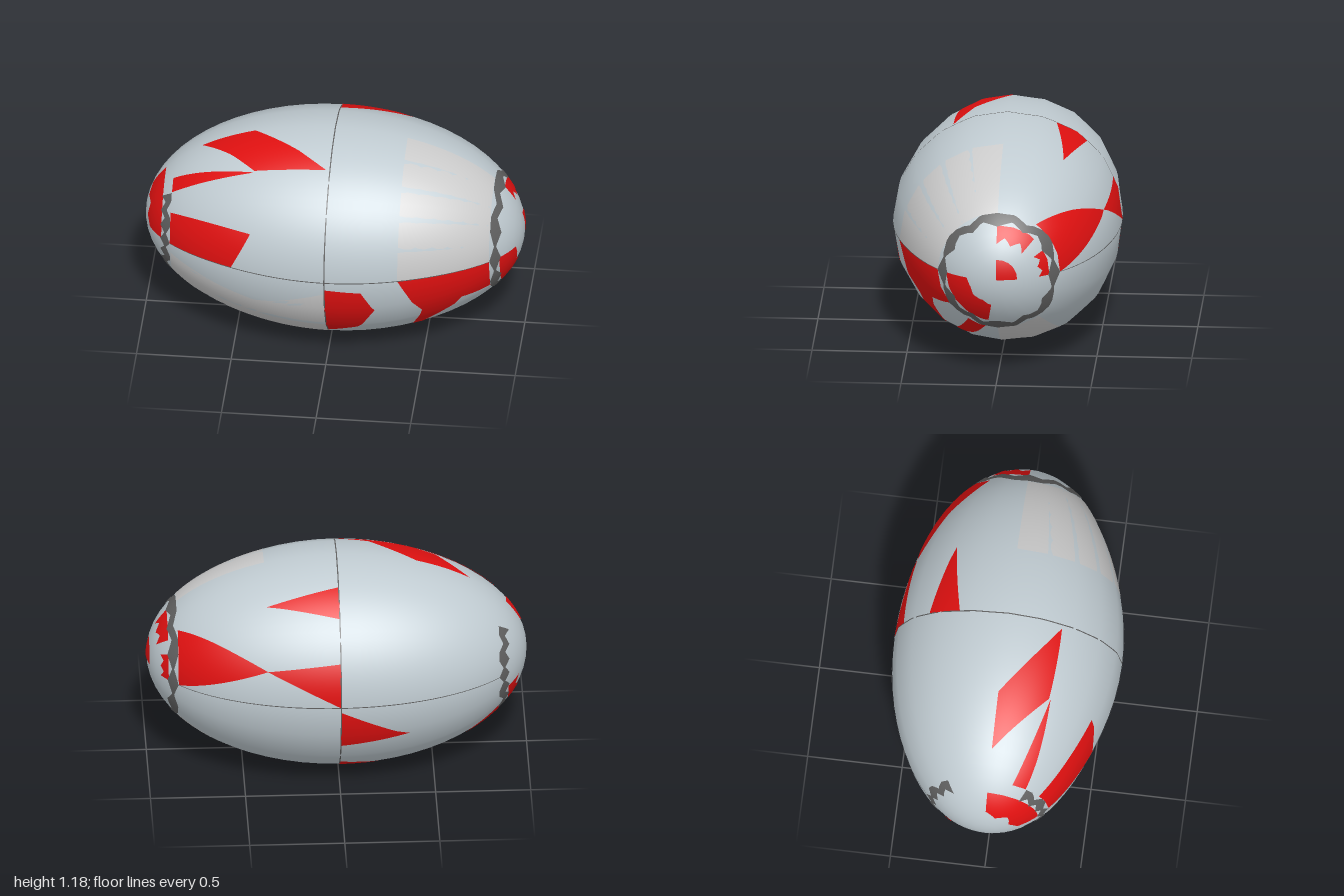
import * as THREE from 'three';

const RY = 0.585, RZ = 0.602, CY = 0.588, SIDES = 20;
const RING = 0.84, CAP = 0.89;
const rad = THREE.MathUtils.degToRad;

// Point on the egg: t runs along x (-90..90 deg), a goes round x; the section is a polygon,
// fuller between the joints at the back, flatter and more tapered at the front.
function eggPoint(t, a, back, k = 1) {
  const step = (Math.PI * 2) / SIDES;
  const local = ((a % step) + step) % step - step / 2;
  const bulge = 1 + (back ? 0.025 : -0.01) * Math.sin(2 * a) ** 2;
  const taper = back ? 1 : 1 - 0.04 * Math.sin(2 * t) ** 2;
  const f = Math.cos(step / 2) / Math.cos(local) * Math.cos(t) * bulge * k;
  return [Math.sin(t) * k, CY + RY * f * Math.sin(a), RZ * f * taper * Math.cos(a)];
}

function eggNormal(t, a) {
  return new THREE.Vector3(Math.sin(t), Math.cos(t) * Math.sin(a) / RY, Math.cos(t) * Math.cos(a) / RZ).normalize().toArray();
}

// Main shell: a plane wrapped round the egg
function shellGeometry() {
  const g = new THREE.PlaneGeometry(Math.PI, Math.PI * 2, 32, SIDES * 4);
  const p = g.attributes.position, n = g.attributes.normal;
  for (let i = 0; i < p.count; i++) {
    const t = p.getX(i), a = p.getY(i);
    p.setXYZ(i, ...eggPoint(t, a, Math.cos(a) < 0));
    n.setXYZ(i, ...eggNormal(t, a));
  }
  return g;
}

// Patch on one eighth of the egg; corners are [distance along x, degrees from the equator]
function patchGeometry(corners, [sx, sy, sz], lift) {
  const shape = new THREE.Shape(corners.map(([x, d]) => new THREE.Vector2(Math.asin(x), rad(d))));
  const flat = new THREE.ShapeGeometry(shape).toNonIndexed().attributes.position;
  const pos = [], nor = [];
  const flip = sx * sy * sz < 0;
  const put = (v) => {
    const p = eggPoint(v.x, v.y, sz < 0, lift), n = eggNormal(v.x, v.y);
    pos.push(p[0] * sx, CY + (p[1] - CY) * sy, p[2] * sz);
    nor.push(n[0] * sx, n[1] * sy, n[2] * sz);
  };
  const split = (a, b, c, depth) => {
    if (depth === 0) {
      (flip ? [a, c, b] : [a, b, c]).forEach(put);
      return;
    }
    const ab = a.clone().lerp(b, 0.5), bc = b.clone().lerp(c, 0.5), ca = c.clone().lerp(a, 0.5);
    split(a, ab, ca, depth - 1);
    split(ab, b, bc, depth - 1);
    split(ca, bc, c, depth - 1);
    split(ab, bc, ca, depth - 1);
  };
  const at = (i) => new THREE.Vector2(flat.getX(i), flat.getY(i));
  for (let i = 0; i < flat.count; i += 3) split(at(i), at(i + 1), at(i + 2), 4);
  const g = new THREE.BufferGeometry();
  g.setAttribute('position', new THREE.Float32BufferAttribute(pos, 3));
  g.setAttribute('normal', new THREE.Float32BufferAttribute(nor, 3));
  return g;
}

// Triangle from an arc (x0, lo to hi) to a tip
const wedge = (x0, lo, hi, tipX, tip) => [[x0, lo], [x0, hi], [tipX, tip]];

// Four-sided patch between two arcs
const slab = (x0, lo0, hi0, x1, lo1, hi1) => [[x0, lo0], [x0, hi0], [x1, hi1], [x1, lo1]];

// Cap patch whose inner edge zigzags between two depths
function blot(lo, hi, deep, shallow) {
  const corners = [[CAP, lo], [CAP, hi]];
  for (let i = 0; i <= 4; i++) corners.push([i % 2 ? shallow : deep, hi + (lo - hi) * i / 4]);
  return corners;
}

// Band round an end cap, jagged on both edges, from the equator up to hi
function bandCorners(hi) {
  const outer = [], inner = [];
  for (let i = 0; i <= 6; i++) {
    outer.push([i % 3 === 1 ? 0.862 : RING, hi * i / 6]);
    inner.push([i % 2 ? 0.872 : 0.895, hi - hi * i / 6]);
  }
  return [...outer, ...inner];
}

export function createModel() {
  const model = new THREE.Group();
  model.name = 'eggShell';
  const slate = new THREE.MeshStandardMaterial({ color: 0xc0cbd1 });
  const grey = new THREE.MeshStandardMaterial({ color: 0xcccccc });
  const red = new THREE.MeshStandardMaterial({ color: 0xe01010 });
  const dark = new THREE.MeshStandardMaterial({ color: 0x606060 });

  const add = (name, geometry, material) => {
    const mesh = new THREE.Mesh(geometry, material);
    mesh.name = name;
    model.add(mesh);
  };
  const paint = (name, material, lift, signs, ...patches) => {
    for (const corners of patches) add(name, patchGeometry(corners, signs, lift), material);
  };

  add('shell', shellGeometry(), slate);

  // Plain grey areas
  paint('leftFrontTopArea', grey, 1.002, [1, 1, 1], slab(0.38, 0, 90, RING, 0, 90));
  paint('rightFrontBottomArea', grey, 1.002, [-1, -1, 1], [[0, 8], [0.38, 22], [RING, 12], [RING, 90], [0, 90]]);
  paint('leftBackBottomArea', grey, 1.002, [1, -1, -1], slab(0, 60, 90, RING, 50, 90));

  // Red patches on alternate eighths
  paint('rightFrontTopPatch', red, 1.004, [-1, 1, 1],
    [[RING, 0], [RING, 31], [0.4, 23], [0.5, 0]],
    wedge(RING, 51, 66, 0.4, 59),
    [[0.7, 90], [0.42, 90], [0.02, 61], [0.4, 60]],
    blot(0, 90, 0.96, 0.975));
  paint('leftFrontBottomPatch', red, 1.004, [1, -1, 1],
    [[0, 5], [0.19, 7], [0.26, 21], [0.16, 42], [0, 51]],
    [[RING, 0], [RING, 36], [0.7, 30], [0.66, 36], [0.42, 61], [0.5, 30], [0.38, 0]],
    wedge(RING, 60, 78, 0.42, 61),
    slab(0, 60, 90, 0.4, 63, 66),
    blot(0, 80, 0.965, 0.97));
  paint('leftBackTopPatch', red, 1.004, [1, 1, -1],
    wedge(RING, 0, 53, 0.38, 20),
    wedge(0, 47, 65, 0.38, 56),
    wedge(0, 0, 24, 0.38, 20),
    blot(46, 90, 0.95, 0.93),
    blot(0, 30, 0.93, 0.915),
    slab(0.983, 0, 90, 1, 0, 90));
  paint('rightBackBottomPatch', red, 1.004, [-1, -1, -1],
    wedge(0, 3, 27, 0.36, 22),
    wedge(0, 48, 66, 0.36, 58),
    wedge(RING, 42, 70, 0.5, 62),
    blot(20, 70, 0.95, 0.93));

  // Cap bands and fine joints between the eighths
  for (const sx of [-1, 1]) for (const sy of [-1, 1]) for (const sz of [-1, 1]) {
    paint('capBand', dark, 1.005, [sx, sy, sz], bandCorners(sx > 0 ? 90 : 50));
    paint('crossJoint', dark, 1.005, [sx, sy, sz], slab(0, 0, 90, 0.003, 0, 90));
    paint('longJoint', dark, 1.005, [sx, sy, sz], slab(0, 0, 0.25, RING, 0, 0.25));
  }
  return model;
}
